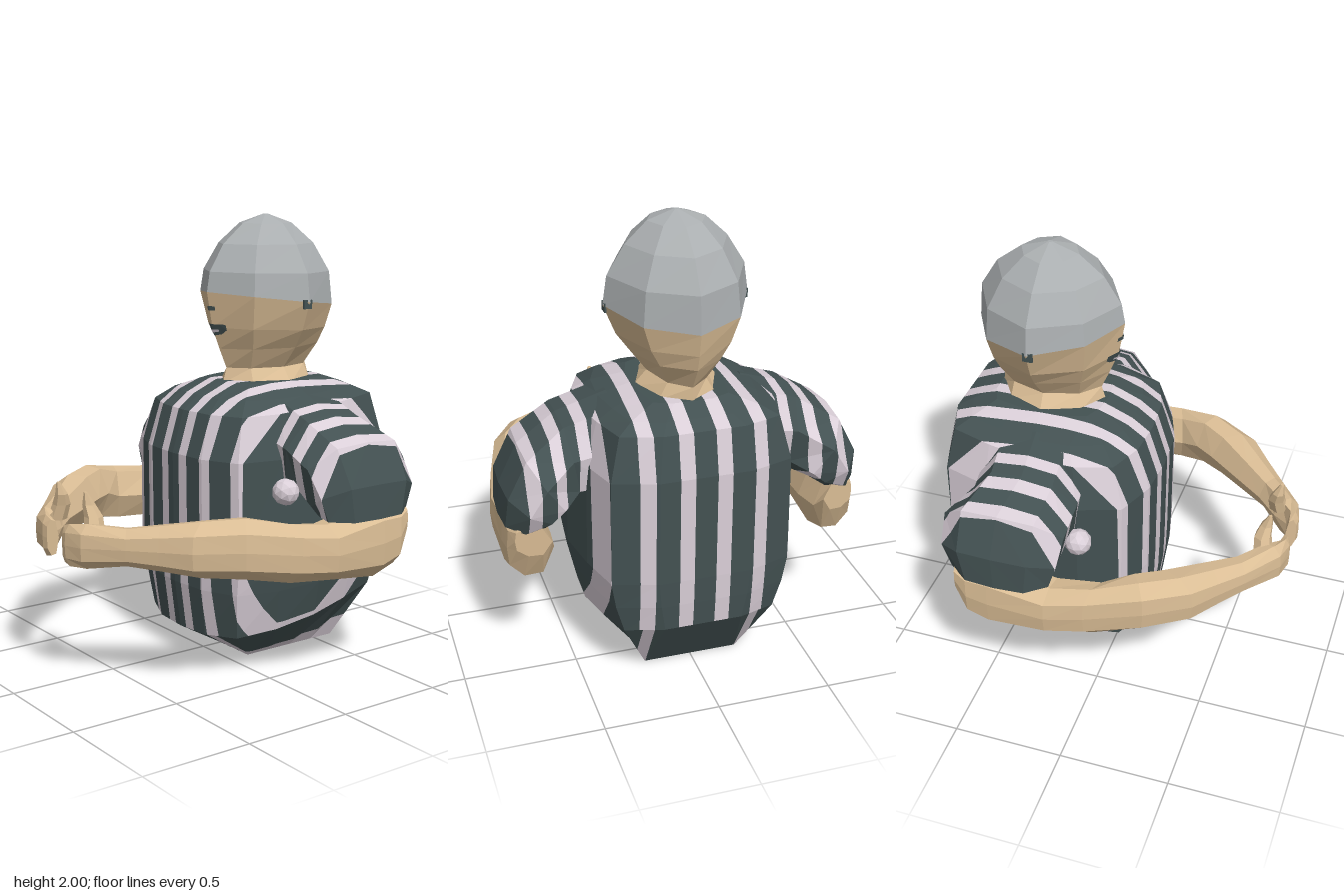
import * as THREE from 'three';

const mat = (name, color, extra = {}) =>
  Object.assign(new THREE.MeshStandardMaterial({ color, flatShading: true, ...extra }), { name });

// Mirrors half an outline (from +v to -v on the +u side) into a closed loop
const closed = half => [...half, ...half.slice(1, -1).reverse().map(([u, v]) => [-u, v])];
const TORSO = closed([[0, 1], [.42, .97], [.8, .83], [.96, .45], [1, 0], [.93, -.45], [.82, -.87], [.42, -1], [0, -1]]);
const BASE = closed([[0, 1], [1, 1], [1, 1], [1, .5], [1, 0], [1, -.5], [1, -1], [1, -1], [0, -1]]);
const HEAD = closed([[0, 1], [.65, .67], [1, 0], [.65, -.67], [0, -1]]);
const LIMB = [[1, 0], [.92, .6], [.3, 1], [-.5, .9], [-1, 0], [-.5, -.9], [.3, -1], [.92, -.6]];

// Skins a list of rings and closes both ends, facing outward
function loft(rings) {
  const n = rings[0].length, pos = rings.flat(), tris = [];
  for (let r = 0; r < rings.length - 1; r++)
    for (let i = 0; i < n; i++) {
      const a = r * n + i, b = r * n + (i + 1) % n;
      tris.push([a, b, b + n], [a, b + n, a + n]);
    }
  for (const [r, flip] of [[0, true], [rings.length - 1, false]]) {
    const ring = rings[r], c = pos.length;
    pos.push([0, 1, 2].map(k => ring.reduce((s, p) => s + p[k], 0) / n));
    for (let i = 0; i < n; i++) {
      const a = r * n + i, b = r * n + (i + 1) % n;
      tris.push(flip ? [b, a, c] : [a, b, c]);
    }
  }
  const V = pos.map(p => new THREE.Vector3(...p));
  const volume = tris.reduce((s, [a, b, c]) => s + V[a].dot(V[b].clone().cross(V[c])), 0);
  if (volume < 0) tris.forEach(t => t.reverse());
  const g = new THREE.BufferGeometry();
  g.setAttribute('position', new THREE.Float32BufferAttribute(pos.flat(), 3));
  g.setIndex(tris.flat());
  g.computeVertexNormals();
  return g;
}

// Level ring: y at front and back, half width, z at front and back
const level = (shape, yf, yb, w, zf, zb) => shape.map(([u, v]) =>
  [u * w, (yf + yb) / 2 + v * (yf - yb) / 2, (zf + zb) / 2 + v * (zf - zb) / 2]);

// Keeps the part of a polygon on one side of a stripe edge (stripe coordinate is the 4th value)
function clip(poly, edge, sign) {
  const out = [];
  poly.forEach((p, i) => {
    const q = poly[(i + 1) % poly.length];
    const dp = sign * (p[3] - edge), dq = sign * (q[3] - edge);
    if (dp >= 0) out.push(p);
    if (dp * dq < 0) out.push(p.map((v, j) => v + (q[j] - v) * dp / (dp - dq)));
  });
  return out;
}

// Cuts a surface into dark cloth and the given light bands of coord(x, z)
function striped(name, geometry, coord, bands, dark, light) {
  const g = geometry.toNonIndexed().getAttribute('position');
  const edges = [-1, ...bands.flat(), 99];
  const verts = [[], []];
  for (let t = 0; t < g.count; t += 3) {
    const tri = [t, t + 1, t + 2].map(i => [g.getX(i), g.getY(i), g.getZ(i), coord(Math.abs(g.getX(i)), g.getZ(i))]);
    for (let e = 0; e < edges.length - 1; e++) {
      const poly = clip(clip(tri, edges[e], 1), edges[e + 1], -1).map(p => p.slice(0, 3));
      for (let i = 1; i < poly.length - 1; i++) verts[e % 2].push(...poly[0], ...poly[i], ...poly[i + 1]);
    }
  }
  const group = new THREE.Group();
  group.name = name;
  [['dark', dark], ['light', light]].forEach(([tone, m], k) => {
    const part = new THREE.BufferGeometry();
    part.setAttribute('position', new THREE.Float32BufferAttribute(verts[k], 3));
    part.computeVertexNormals();
    const mesh = new THREE.Mesh(part, m);
    mesh.name = `${name} ${tone} stripes`;
    group.add(mesh);
  });
  return group;
}

// Thin plate folded over the ridge of the face; columns are [x, top, bottom]
function facePlate(columns, lift) {
  const z = (x, y) => -.05 + (y - 1.5) * (y > 1.5 ? .2 : .5) - Math.abs(x) * .58 + lift;
  const pos = columns.flatMap(([x, t, b]) => [x, t, z(x, t), x, b, z(x, b)]);
  const index = [];
  for (let i = 0; i < columns.length - 1; i++) {
    const a = i * 2;
    index.push(a, a + 1, a + 3, a, a + 3, a + 2);
  }
  const g = new THREE.BufferGeometry();
  g.setAttribute('position', new THREE.Float32BufferAttribute(pos, 3));
  g.setIndex(index);
  g.computeVertexNormals();
  return g;
}

export function createModel() {
  const model = new THREE.Group();
  model.name = 'bust';
  const skin = mat('skin', 0xdabd95), grey = mat('cap grey', 0xabafb1);
  const dark = mat('dark shirt', 0x435152, { side: THREE.DoubleSide });
  const light = mat('light shirt', 0xdacfd8, { side: THREE.DoubleSide });
  const add = (name, geometry, material) => {
    const m = new THREE.Mesh(geometry, material);
    m.name = name;
    model.add(m);
    return m;
  };

  // Shirt body and underside; stripes spread a little wider towards the back
  const spread = (x, z) => x / (.14 + .026 * (.17 - z));
  const hemRing = level(TORSO, .13, .28, .41, .13, -.78);
  model.add(striped('torso', loft([
    hemRing,
    level(TORSO, .35, .4, .455, .16, -.79),
    level(TORSO, .5, .52, .48, .165, -.795),
    level(TORSO, .95, 1, .475, .17, -.795),
    level(TORSO, 1.14, 1.19, .42, .11, -.755),
    level(TORSO, 1.2, 1.22, .34, .03, -.69),
    level(TORSO, 1.255, 1.255, .2, -.1, -.6),
  ]), spread, [[.29, .68], [1.3, 1.69], [2.4, 2.72]], dark, light));
  model.add(striped('hem', loft([level(BASE, 0, 0, .21, -.1, -.6), hemRing]), spread, [[1.3, 1.6]], dark, light));

  // Neck and face, then the cap above the brow line
  const brow = level(HEAD, 1.66, 1.58, .315, -.02, -.69);
  add('face', loft([
    level(HEAD, 1.24, 1.24, .19, -.11, -.6),
    level(HEAD, 1.31, 1.31, .13, -.13, -.59),
    level(HEAD, 1.4, 1.41, .2, -.09, -.65),
    level(HEAD, 1.5, 1.48, .262, -.05, -.67),
    brow,
  ]), skin);
  add('cap', loft([
    brow,
    level(HEAD, 1.75, 1.74, .297, -.035, -.675),
    level(HEAD, 1.87, 1.87, .22, -.11, -.595),
    level(HEAD, 1.96, 1.96, .125, -.22, -.48),
    level(HEAD, 2, 2, .01, -.34, -.36),
  ]), grey);

  // Painted face details
  add('nose mark', facePlate([[-.028, 1.597, 1.578], [0, 1.597, 1.578], [.028, 1.597, 1.578]], .005), dark);
  add('mouth', facePlate([[-.062, 1.515, 1.49], [-.035, 1.515, 1.47], [0, 1.515, 1.462], [.035, 1.515, 1.47], [.062, 1.515, 1.49]], .006), dark);
  add('teeth', facePlate([[-.03, 1.492, 1.482], [0, 1.49, 1.476], [.03, 1.492, 1.482]], .009), light);

  for (const s of [1, -1]) {
    const side = s > 0 ? 'left' : 'right';
    // Sleeve: inner x, y, outer x, y, z centre, z radius
    const sleeve = [
      [.3, .76, .3, 1.225, -.33, .24],
      [.45, .77, .52, 1.15, -.315, .235],
      [.5, .76, .7, 1.05, -.365, .275],
      [.55, .745, .785, .88, -.37, .265],
      [.575, .74, .795, .73, -.36, .225],
    ].map(([ix, iy, ox, oy, z, r]) => LIMB.map(([u, v]) =>
      [s * ((ix + ox) / 2 + u * (ox - ix) / 2), (iy + oy) / 2 + u * (oy - iy) / 2, z + v * r]));
    model.add(striped(`${side} sleeve`, loft(sleeve), x => x, [[.42, .47], [.535, .585], [.65, .705]], dark, light));

    // Cloth fold in front of the armpit
    const fold = add(`${side} sleeve fold`, new THREE.IcosahedronGeometry(.06, 1), light);
    fold.position.set(s * .51, .835, -.07);

    // Arm and hand: inner x, z, outer x, z, bottom and top y
    const arm = [
      [.61, -.6, .76, -.56, .62, .76],
      [.59, -.54, .785, -.5, .49, .77],
      [.575, -.4, .79, -.4, .45, .78],
      [.58, -.12, .79, -.14, .48, .725],
      [.58, .09, .757, .03, .495, .75],
      [.53, .18, .69, .28, .53, .79],
      [.47, .27, .575, .47, .54, .78],
      [.34, .44, .46, .56, .56, .755],
      [.245, .565, .35, .65, .575, .735],
      [.15, .66, .19, .77, .55, .745],
      [.11, .73, .095, .79, .55, .735],
      [.04, .74, .065, .785, .56, .72],
    ].map(([ix, iz, ox, oz, lo, hi]) => LIMB.map(([u, v]) =>
      [s * ((ix + ox) / 2 + u * (ox - ix) / 2), (lo + hi) / 2 + v * (hi - lo) / 2, (iz + oz) / 2 + u * (oz - iz) / 2]));
    add(`${side} arm`, loft(arm), skin);

    // Thumb: x, y, z, radius
    const thumb = [[.16, .69, .68, .045], [.135, .76, .67, .04], [.115, .81, .68, .028], [.115, .865, .695, .008]]
      .map(([x, y, z, r]) => [0, 1, 2, 3, 4, 5].map(i =>
        [s * (x + r * Math.cos(i * Math.PI / 3)), y, z + r * Math.sin(i * Math.PI / 3)]));
    add(`${side} thumb`, loft(thumb), skin);

    // Ear mark
    add(`${side} ear mark`, new THREE.BoxGeometry(.009, .04, .045), dark).position.set(s * .306, 1.61, -.35);
  }
  return model;
}
